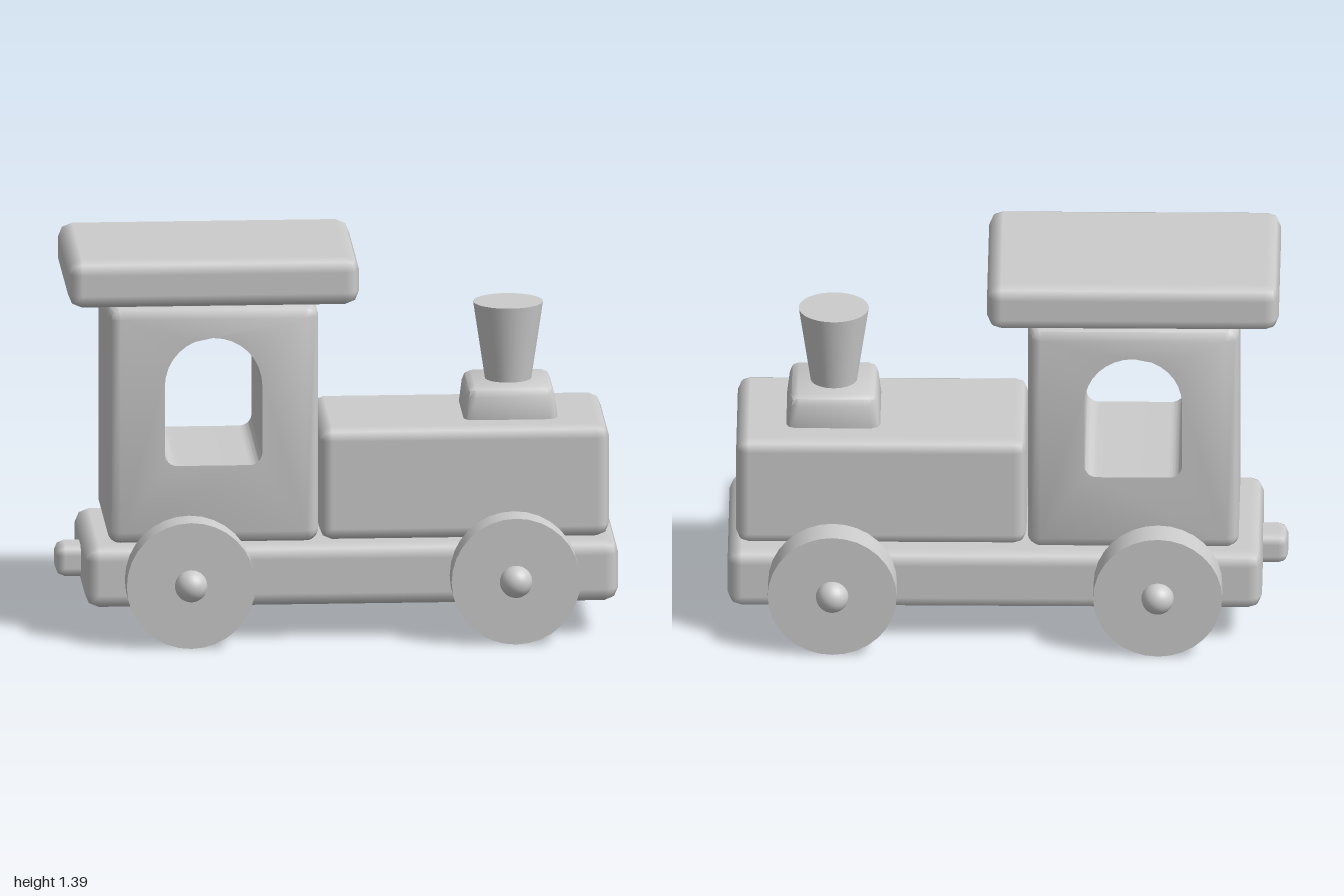
import * as THREE from 'three';
import { toCreasedNormals } from 'three/addons/utils/BufferGeometryUtils.js';
import { RoundedBoxGeometry } from 'three/addons/geometries/RoundedBoxGeometry.js';

export function createModel() {
  const model = new THREE.Group();
  const material = new THREE.MeshStandardMaterial({ color: 0xcccccc });

  const add = (name, geometry, x, y, z) => {
    const mesh = new THREE.Mesh(geometry, material);
    mesh.name = name;
    mesh.position.set(x, y, z);
    model.add(mesh);
    return mesh;
  };

  // Wooden block with bevelled edges, given by its extents and half depth
  const block = (name, x0, x1, y0, y1, halfZ, bevel) =>
    add(name, new RoundedBoxGeometry(x1 - x0, y1 - y0, halfZ * 2, 1, bevel), (x0 + x1) / 2, (y0 + y1) / 2, 0);

  block('chassis', -0.91, 0.995, 0.12, 0.345, 0.348, 0.05);
  block('boiler', -0.07, 0.965, 0.345, 0.755, 0.29, 0.045);
  block('roof', -0.97, 0.07, 1.215, 1.39, 0.345, 0.05);
  block('coupling', -1.0, -0.86, 0.175, 0.29, 0.075, 0.035);

  // Cab: bevelled block with an arched window cut straight through
  const hx = 0.376, hy = 0.434, r = 0.045;
  const outline = new THREE.Shape();
  outline.absarc(hx - r, hy - r, r, 0, Math.PI / 2);
  outline.absarc(r - hx, hy - r, r, Math.PI / 2, Math.PI);
  outline.absarc(r - hx, r - hy, r, Math.PI, Math.PI * 1.5);
  outline.absarc(hx - r, r - hy, r, Math.PI * 1.5, Math.PI * 2);
  const win = new THREE.Path();
  const w = 0.174, sill = -0.146, c = 0.045;
  win.absarc(0, 0.146, w, 0, Math.PI);
  win.absarc(c - w, sill + c, c, Math.PI, Math.PI * 1.5);
  win.absarc(w - c, sill + c, c, Math.PI * 1.5, Math.PI * 2);
  win.closePath();
  outline.holes.push(win);
  const cab = new THREE.ExtrudeGeometry(outline, { depth: 5, steps: 5, curveSegments: 8, bevelEnabled: false });
  // Layer depths and insets turn the straight outer edge into a bevel
  const depths = [-0.315, -0.302, -0.27, 0.27, 0.302, 0.315];
  const insets = [0.045, 0.013, 0, 0, 0.013, 0.045];
  const p = cab.attributes.position;
  for (let i = 0; i < p.count; i++) {
    const layer = Math.round(p.getZ(i));
    const k = 1 - insets[layer] / r;
    const cx = THREE.MathUtils.clamp(p.getX(i), r - hx, hx - r);
    const cy = THREE.MathUtils.clamp(p.getY(i), r - hy, hy - r);
    p.setXYZ(i, cx + (p.getX(i) - cx) * k, cy + (p.getY(i) - cy) * k, depths[layer]);
  }
  add('cab', toCreasedNormals(cab, 0.8), -0.451, 0.781, 0);

  // Chimney base: bevelled block narrowing towards the top
  const base = new RoundedBoxGeometry(0.34, 0.17, 0.35, 1, 0.035);
  const b = base.attributes.position;
  for (let i = 0; i < b.count; i++) {
    const s = b.getY(i) > 0 ? 0.93 : 1;
    b.setX(i, b.getX(i) * s);
    b.setZ(i, b.getZ(i) * s);
  }
  base.computeVertexNormals();
  add('chimneyBase', toCreasedNormals(base, 0.8), 0.62, 0.785, 0);
  add('chimney', new THREE.CylinderGeometry(0.125, 0.08, 0.3, 32), 0.62, 1.0, 0);

  // Wheels with round hub pegs
  for (const x of [-0.54, 0.62]) {
    for (const side of [1, -1]) {
      const wheel = add('wheel', new THREE.CylinderGeometry(0.23, 0.23, 0.12, 32), x, 0.23, side * 0.405);
      wheel.rotation.x = Math.PI / 2;
      add('hub', new THREE.SphereGeometry(0.058, 24, 16), x, 0.23, side * 0.466);
    }
  }
  return model;
}
